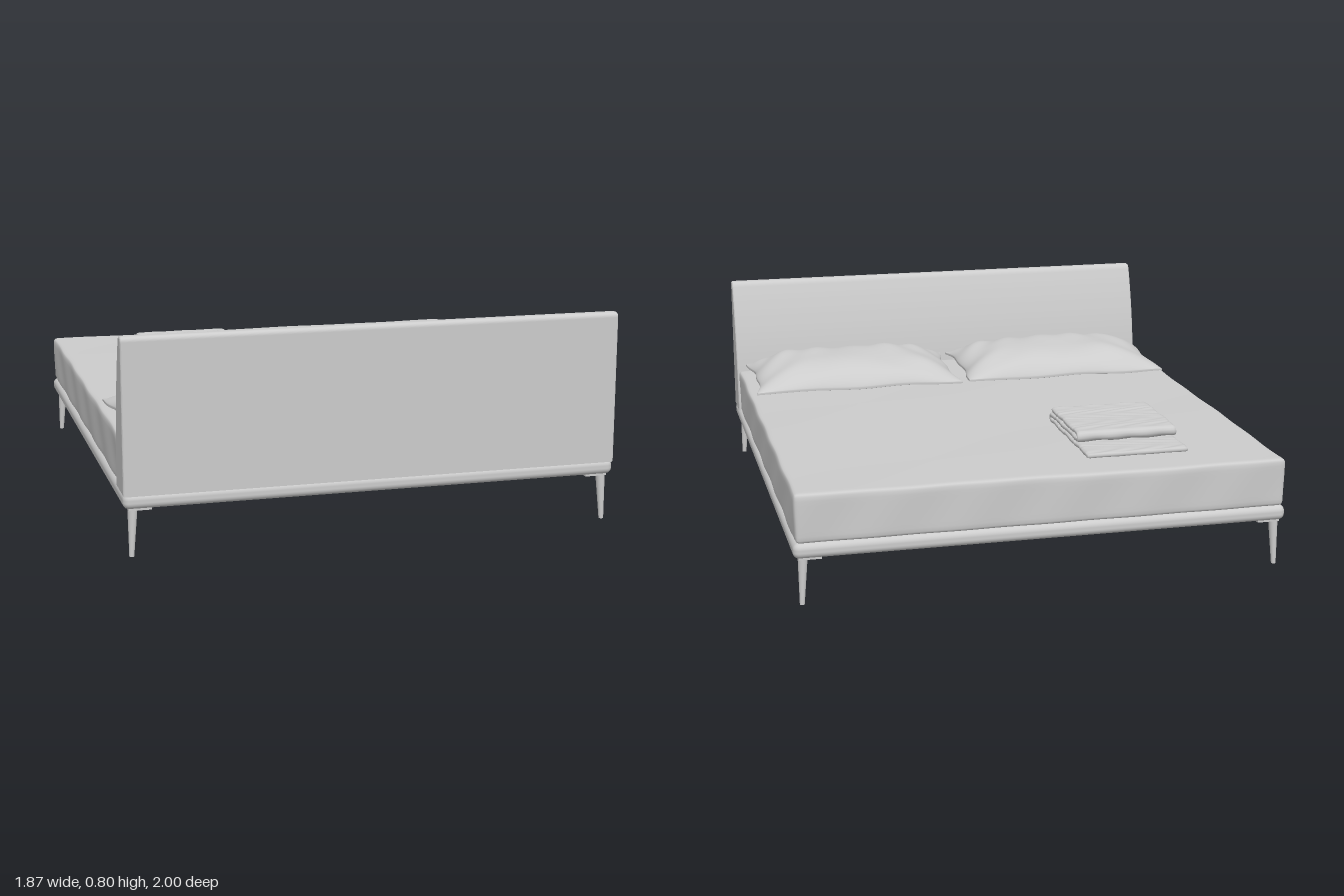
import * as THREE from 'three';
import { mergeVertices } from 'three/addons/utils/BufferGeometryUtils.js';
import { RoundedBoxGeometry } from 'three/addons/geometries/RoundedBoxGeometry.js';

const { sin, cos, abs, sign, pow, PI } = Math;
const material = new THREE.MeshStandardMaterial({ color: 0xcccccc });

function addMesh(parent, name, geometry, x = 0, y = 0, z = 0) {
  const mesh = new THREE.Mesh(geometry, material);
  mesh.name = name;
  mesh.position.set(x, y, z);
  parent.add(mesh);
  return mesh;
}

// Moves every vertex by a rule, then welds the box faces into one smooth skin
function reshape(geometry, rule) {
  const pos = geometry.attributes.position;
  const p = new THREE.Vector3();
  for (let i = 0; i < pos.count; i++) {
    rule(p.fromBufferAttribute(pos, i));
    pos.setXYZ(i, p.x, p.y, p.z);
  }
  geometry.deleteAttribute('normal');
  geometry.deleteAttribute('uv');
  const welded = mergeVertices(geometry, 1e-5);
  welded.computeVertexNormals();
  return welded;
}

// Rule that rounds the edges of a box of the given size
function roundEdges(w, h, d, r) {
  const half = new THREE.Vector3(w / 2 - r, h / 2 - r, d / 2 - r);
  const min = half.clone().negate();
  const core = new THREE.Vector3();
  return p => {
    core.copy(p).clamp(min, half);
    p.sub(core).setLength(r).add(core);
  };
}

// Headboard: upright back, front face curving forward to the mattress
function headboardGeometry(width) {
  const s = new THREE.Shape();
  const bevel = 0.008;
  s.moveTo(0.992, 0.235);
  s.lineTo(0.992, 0.782);
  s.quadraticCurveTo(0.992, 0.793, 0.981, 0.793);
  s.lineTo(0.966, 0.793);
  s.quadraticCurveTo(0.956, 0.792, 0.95, 0.777);
  s.bezierCurveTo(0.905, 0.66, 0.852, 0.47, 0.852, 0.235);
  s.closePath();
  const g = new THREE.ExtrudeGeometry(s, {
    depth: width - 2 * bevel, curveSegments: 20,
    bevelSize: bevel, bevelThickness: bevel, bevelSegments: 4,
  });
  g.translate(0, 0, -width / 2 + bevel);
  g.rotateY(-PI / 2);
  return g;
}

// Mattress: vertices gather at the edges, faces gently uneven
function mattressGeometry(w, h, d) {
  const round = roundEdges(w, h, d, 0.018);
  return reshape(new THREE.BoxGeometry(2, 2, 2, 56, 12, 56), p => {
    p.set(sin(p.x * PI / 2) * w / 2, sin(p.y * PI / 2) * h / 2, sin(p.z * PI / 2) * d / 2);
    round(p);
    const { x, y, z } = p;
    if (y > 0) p.y += 0.003 * (sin(5 * x + 3 * z) * cos(4 * z - 2 * x)) - 0.001;
    p.x -= sign(x) * 0.002 * (1 + sin(17 * z + 20 * y)) * pow(abs(x) / (w / 2), 8);
    p.z -= sign(z) * 0.002 * (1 + sin(19 * x + 14 * y)) * pow(abs(z) / (d / 2), 8);
  });
}

// Pillow: a domed top and flatter base meeting at a wavy seam
function pillowGeometry(halfW, halfD, phase) {
  return reshape(new THREE.BoxGeometry(2, 2, 2, 56, 1, 36), p => {
    const u = sin(p.x * PI / 2), v = sin(p.z * PI / 2), top = p.y > 0;
    const dome = pow((1 - pow(abs(u), 4)) * (1 - pow(abs(v), 3.2)), 0.75);
    const rim = u * u * (1 - u * u) + v * v * (1 - v * v);
    const crease = 0.008 * rim * sin(13 * u + 9 * v * u + phase) * dome;
    const seam = 0.008 * v + 0.003 * sin(6 * u + 4 * v + phase);
    p.y = seam + (top ? 0.004 + (0.092 + 0.008 * v) * dome + crease * 2 : -0.004 - 0.014 * dome);
    p.x = u * (halfW - 0.022 * (1 - v * v) + 0.005 * sin(7 * v + phase));
    p.z = v * (halfD - 0.008 * (1 - u * u) + 0.003 * sin(9 * u + phase));
  });
}

// Blanket: one long thin sheet folded twice, following an S-shaped path
function blanketGeometry(width, thick) {
  const low = 0.432, r = 0.0115, back = -0.83, front = -0.316, fold = -0.676;
  const arc = PI * r;
  const a = front - back, b = a + arc, c = b + front - fold, e = c + arc;
  const length = e + front - fold;
  const round = roundEdges(width, thick, length, thick * 0.48);
  return reshape(new THREE.BoxGeometry(width, thick, length, 32, 2, 220), p => {
    round(p);
    const s = p.z + length / 2, n = p.y + 0.0018 * sin(48 * p.x + 6 * sin(31 * s)) * sin(43 * s);
    p.x += sign(p.x) * 0.002 * sin(37 * s);
    if (s < a) {
      p.y = low + n; p.z = back + s;
    } else if (s < b) {
      const t = (s - a) / r;
      p.y = low + r - (r - n) * cos(t); p.z = front + (r - n) * sin(t);
    } else if (s < c) {
      p.y = low + 2 * r - n; p.z = front - (s - b);
    } else if (s < e) {
      const t = (s - c) / r;
      p.y = low + 3 * r - (r + n) * cos(t); p.z = fold - (r + n) * sin(t);
    } else {
      p.y = low + 4 * r + n; p.z = fold + (s - e);
    }
  });
}

// Leg: slim taper whose outer sides stay almost upright
function legGeometry(height) {
  const g = new THREE.CylinderGeometry(0.018, 0.009, height, 24);
  g.translate(0, height / 2, 0);
  const pos = g.attributes.position;
  for (let i = 0; i < pos.count; i++) {
    const shift = 0.007 * (1 - pos.getY(i) / height);
    pos.setX(i, pos.getX(i) + shift);
    pos.setZ(i, pos.getZ(i) + shift);
  }
  g.computeVertexNormals();
  return g;
}

export function createModel() {
  const bed = new THREE.Group();
  bed.name = 'bed';

  addMesh(bed, 'frame', new RoundedBoxGeometry(1.87, 0.058, 2, 5, 0.024), 0, 0.207, 0);
  addMesh(bed, 'headboard', headboardGeometry(1.87));
  addMesh(bed, 'mattress', mattressGeometry(1.86, 0.186, 1.838), 0, 0.328, -0.08);

  // Pillows side by side against the headboard
  addMesh(bed, 'rightPillow', pillowGeometry(0.445, 0.235, 0), -0.465, 0.441, 0.594);
  addMesh(bed, 'leftPillow', pillowGeometry(0.443, 0.235, 2), 0.453, 0.441, 0.594);

  addMesh(bed, 'foldedBlanket', blanketGeometry(0.4, 0.018), -0.4, 0, 0);

  // Legs with small mounting plates at the four corners
  for (const sx of [-1, 1]) for (const sz of [-1, 1]) {
    const leg = new THREE.Group();
    leg.name = (sz > 0 ? 'front' : 'back') + (sx > 0 ? 'Left' : 'Right') + 'Leg';
    const post = addMesh(leg, 'legPost', legGeometry(0.176), sx * 0.898, 0, sz * 0.965);
    post.rotation.y = Math.atan2(sx, sz) - PI / 4;
    addMesh(leg, 'mountingPlate', new THREE.BoxGeometry(0.085, 0.008, 0.085), sx * 0.873, 0.175, sz * 0.94);
    bed.add(leg);
  }
  return bed;
}
